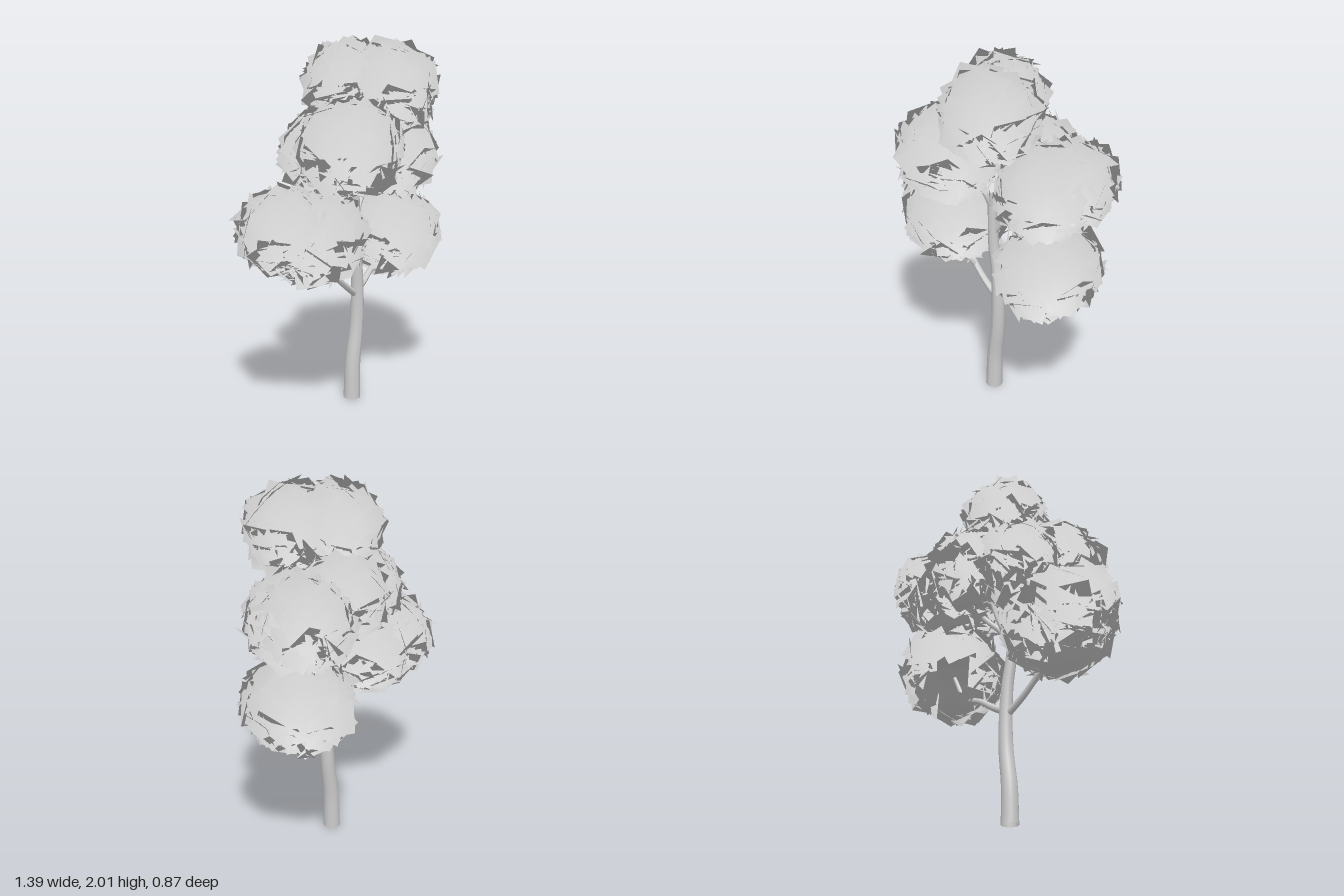
import * as THREE from 'three';
import { mergeGeometries } from 'three/addons/utils/BufferGeometryUtils.js';

const material = new THREE.MeshStandardMaterial({ color: 0xcccccc, side: THREE.DoubleSide });

// Small seeded generator
function seeded(seed) {
  let s = seed;
  return () => {
    s = (s * 16807) % 2147483647;
    return s / 2147483647;
  };
}

// Smooth tube whose radius runs from r0 to r1
function limb(name, points, r0, r1, sides = 10) {
  const curve = new THREE.CatmullRomCurve3(points.map((p) => new THREE.Vector3(...p)));
  const segments = points.length * 5;
  const geometry = new THREE.TubeGeometry(curve, segments, 1, sides);
  const pos = geometry.attributes.position;
  const v = new THREE.Vector3();
  for (let i = 0; i < pos.count; i++) {
    const t = Math.floor(i / (sides + 1)) / segments;
    const centre = curve.getPointAt(t);
    v.fromBufferAttribute(pos, i).sub(centre).multiplyScalar(r0 + (r1 - r0) * t).add(centre);
    pos.setXYZ(i, v.x, v.y, v.z);
  }
  geometry.computeVertexNormals();
  const mesh = new THREE.Mesh(geometry, material);
  mesh.name = name;
  return mesh;
}

// Ellipsoidal shell of overlapping, tilted leaf cards, with an optional gap in one direction.
// Normals lean upward and a little outward, so each clump shades as one soft mass.
function foliage(name, centre, radii, seed, gap) {
  const random = seeded(seed);
  const jitter = (amount) => (random() * 2 - 1) * amount;
  const dummy = new THREE.Object3D();
  const middle = new THREE.Vector3(...centre);
  const normal = new THREE.Vector3();
  const gapDir = gap && new THREE.Vector3(...gap).normalize();
  const count = 230;
  const cards = [];
  for (let i = 0; i < count; i++) {
    // Even spread of directions over the sphere
    const y = 1 - (2 * (i + 0.5)) / count;
    const ring = Math.sqrt(1 - y * y);
    const angle = i * 2.39996 + jitter(0.15);
    const dir = new THREE.Vector3(Math.cos(angle) * ring, y, Math.sin(angle) * ring);
    if (gapDir && dir.dot(gapDir) > 0.78) continue;
    const depth = 0.94 + jitter(0.06);
    dummy.position.set(...radii).multiply(dir).multiplyScalar(depth).add(middle);
    dummy.lookAt(dummy.position.clone().add(dir));
    dummy.rotateZ(random() * Math.PI * 2);
    dummy.rotateX(jitter(0.48));
    dummy.rotateY(jitter(0.48));
    dummy.updateMatrix();
    const size = 0.155 + jitter(0.03);
    const card = new THREE.PlaneGeometry(size, size).applyMatrix4(dummy.matrix);
    const { position, normal: normals } = card.attributes;
    for (let k = 0; k < position.count; k++) {
      normal.fromBufferAttribute(position, k).sub(middle).normalize().multiplyScalar(0.5);
      normal.y += 0.85;
      normal.normalize();
      normals.setXYZ(k, normal.x, normal.y, normal.z);
    }
    cards.push(card);
  }
  const mesh = new THREE.Mesh(mergeGeometries(cards), material);
  mesh.name = name;
  return mesh;
}

export function createModel() {
  const tree = new THREE.Group();
  tree.name = 'tree';

  // Gently bent trunk
  tree.add(limb('trunk', [
    [0.028, 0, -0.026], [0.034, 0.2, -0.025], [0.06, 0.4, -0.02], [0.066, 0.58, -0.017],
    [0.057, 0.76, -0.015], [0.036, 0.92, -0.01], [0.03, 1.16, -0.005],
  ], 0.047, 0.025, 16));

  // Branches reaching into the foliage
  const branches = new THREE.Group();
  branches.name = 'branches';
  const paths = [
    ['lowerRightBranch', [[0.06, 0.59, -0.02], [-0.06, 0.68, -0.02], [-0.17, 0.78, -0.03], [-0.32, 0.94, -0.05]], 0.02],
    ['lowerRightTwig', [[-0.12, 0.73, -0.02], [-0.15, 0.8, 0.02], [-0.16, 0.93, 0.05]], 0.013],
    ['lowerLeftBranch', [[0.06, 0.61, -0.02], [0.14, 0.65, -0.03], [0.22, 0.7, -0.04], [0.32, 0.74, -0.05], [0.4, 0.88, -0.05]], 0.02],
    ['lowerLeftTwig', [[0.21, 0.7, -0.04], [0.28, 0.71, 0.0], [0.36, 0.8, 0.05]], 0.013],
    ['upperLeftBranch', [[0.04, 1.0, -0.01], [0.09, 1.08, -0.03], [0.17, 1.16, -0.05], [0.34, 1.36, -0.07]], 0.018],
    ['upperBackBranch', [[0.04, 1.0, -0.01], [0.08, 1.12, -0.06], [0.13, 1.35, -0.12]], 0.015],
    ['upperRightBranch', [[0.03, 1.13, -0.01], [0.0, 1.24, 0.03], [-0.14, 1.4, 0.1]], 0.018],
    ['topBranch', [[0.03, 1.12, -0.005], [0.05, 1.35, 0.01], [0.1, 1.68, 0.04]], 0.02],
  ];
  for (const [name, points, radius] of paths) branches.add(limb(name, points, radius, radius * 0.55, 8));
  tree.add(branches);

  // Foliage clumps: centre, radii, gap direction
  const crown = new THREE.Group();
  crown.name = 'crown';
  const clumps = [
    ['lowerRightFoliage', [-0.29, 0.975, -0.04], [0.27, 0.215, 0.26]],
    ['lowerRightOuterFoliage', [-0.435, 1.03, -0.1], [0.2, 0.2, 0.23]],
    ['lowerLeftFoliage', [0.4, 0.9, -0.06], [0.23, 0.23, 0.28], [-0.65, -0.35, -0.65]],
    ['middleRightFoliage', [-0.17, 1.445, 0.12], [0.26, 0.235, 0.24]],
    ['middleRightBackFoliage', [-0.09, 1.4, -0.11], [0.22, 0.2, 0.2]],
    ['middleLeftFoliage', [0.39, 1.35, -0.03], [0.23, 0.23, 0.24]],
    ['middleLeftBackFoliage', [0.46, 1.38, -0.14], [0.18, 0.2, 0.22]],
    ['middleBackFoliage', [0.18, 1.43, -0.17], [0.22, 0.2, 0.2]],
    ['topFoliage', [0.15, 1.73, 0.13], [0.22, 0.21, 0.23]],
    ['topBackFoliage', [0.04, 1.75, -0.06], [0.2, 0.2, 0.2]],
  ];
  clumps.forEach(([name, centre, radii, gap], i) => crown.add(foliage(name, centre, radii, 977 + i * 7919, gap)));
  tree.add(crown);

  return tree;
}
